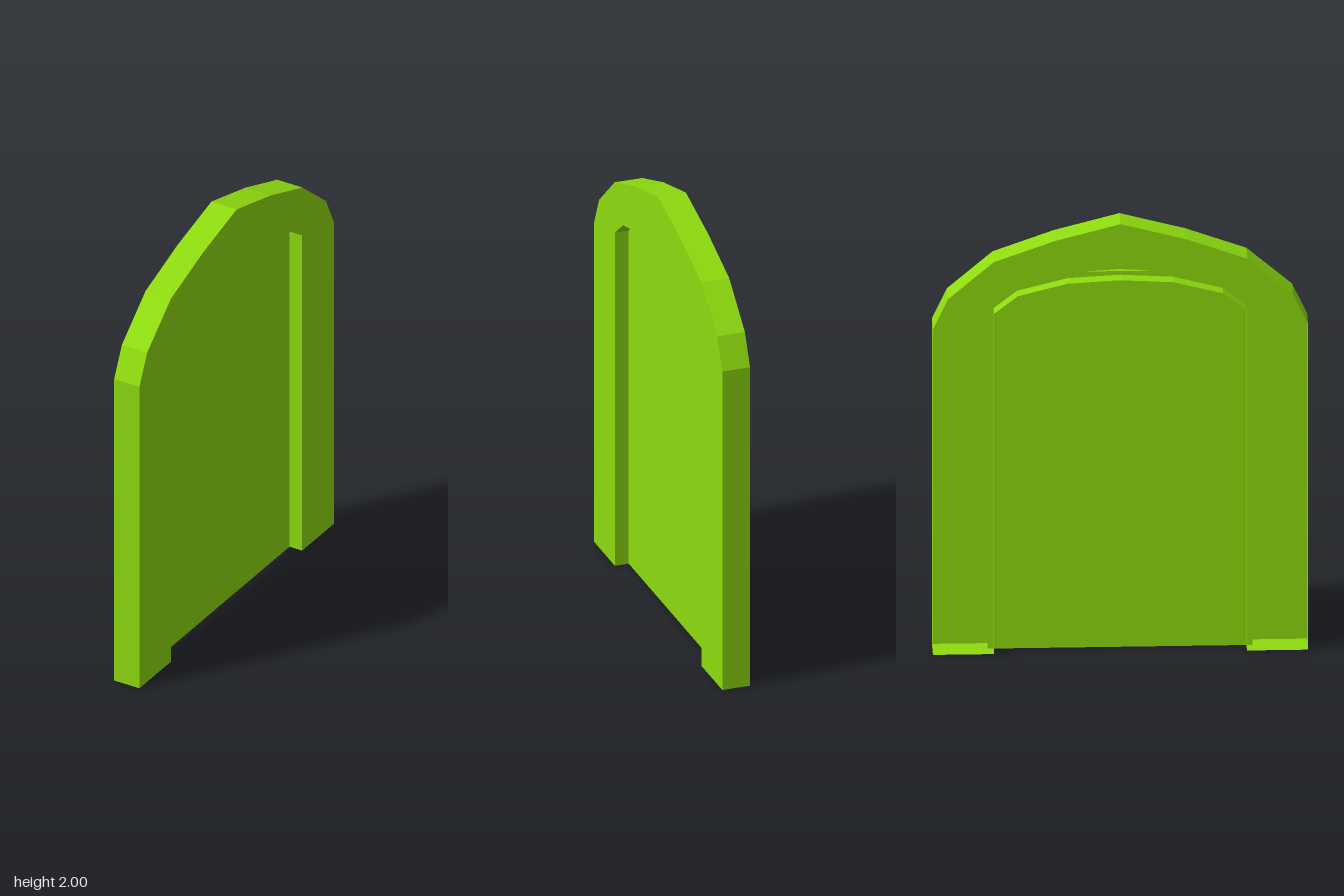
import * as THREE from 'three';

const HALF = 0.064; // half of the frame's depth

// Right halves of the outlines, from the floor up to the crown
const OUTER = [[0.813, 0], [0.813, 1.52], [0.748, 1.66], [0.55, 1.83], [0.285, 1.925], [0, 2]];
const INNER = [[0.548, 0], [0.548, 1.59], [0.445, 1.67], [0.23, 1.725], [0, 1.738]];

// Mirrors a half outline into a full arch running from right foot to left foot
function arch(half) {
  const left = half.slice(0, -1).reverse().map(([u, y]) => [-u, y]);
  return [...half, ...left].map(([u, y]) => new THREE.Vector2(u, y));
}

// Flat-shaded band of quads following a closed outline through the depth
function band(points, depth) {
  const pos = [];
  points.forEach((a, i) => {
    const b = points[(i + 1) % points.length];
    pos.push(
      a.x, a.y, -depth, b.x, b.y, -depth, b.x, b.y, depth,
      a.x, a.y, -depth, b.x, b.y, depth, a.x, a.y, depth
    );
  });
  const geo = new THREE.BufferGeometry();
  geo.setAttribute('position', new THREE.Float32BufferAttribute(pos, 3));
  geo.computeVertexNormals();
  return geo;
}

export function createModel() {
  const group = new THREE.Group();
  group.name = 'archedDoorway';
  const material = new THREE.MeshStandardMaterial({
    color: 0x8edb0f, flatShading: true, side: THREE.DoubleSide,
  });

  // Outlines are drawn in x-y, then turned so the face looks along +x
  const add = (name, geo) => {
    geo.rotateY(Math.PI / 2);
    const mesh = new THREE.Mesh(geo, material);
    mesh.name = name;
    group.add(mesh);
  };

  // Frame outline: outer arch, then back along the opening
  const outline = [...arch(OUTER), ...arch(INNER).reverse()];

  // Face of the frame; the other side of the frame is open
  add('frameFace', new THREE.ShapeGeometry(new THREE.Shape(outline)).translate(0, 0, HALF));

  // Outer rim, feet and inner reveal
  add('frameWalls', band(outline, HALF));

  // Thin rectangular door panel in mid-depth, tucked behind the arch
  add('doorPanel', new THREE.PlaneGeometry(1.15, 1.755).translate(0, 1.755 / 2, 0));

  return group;
}
